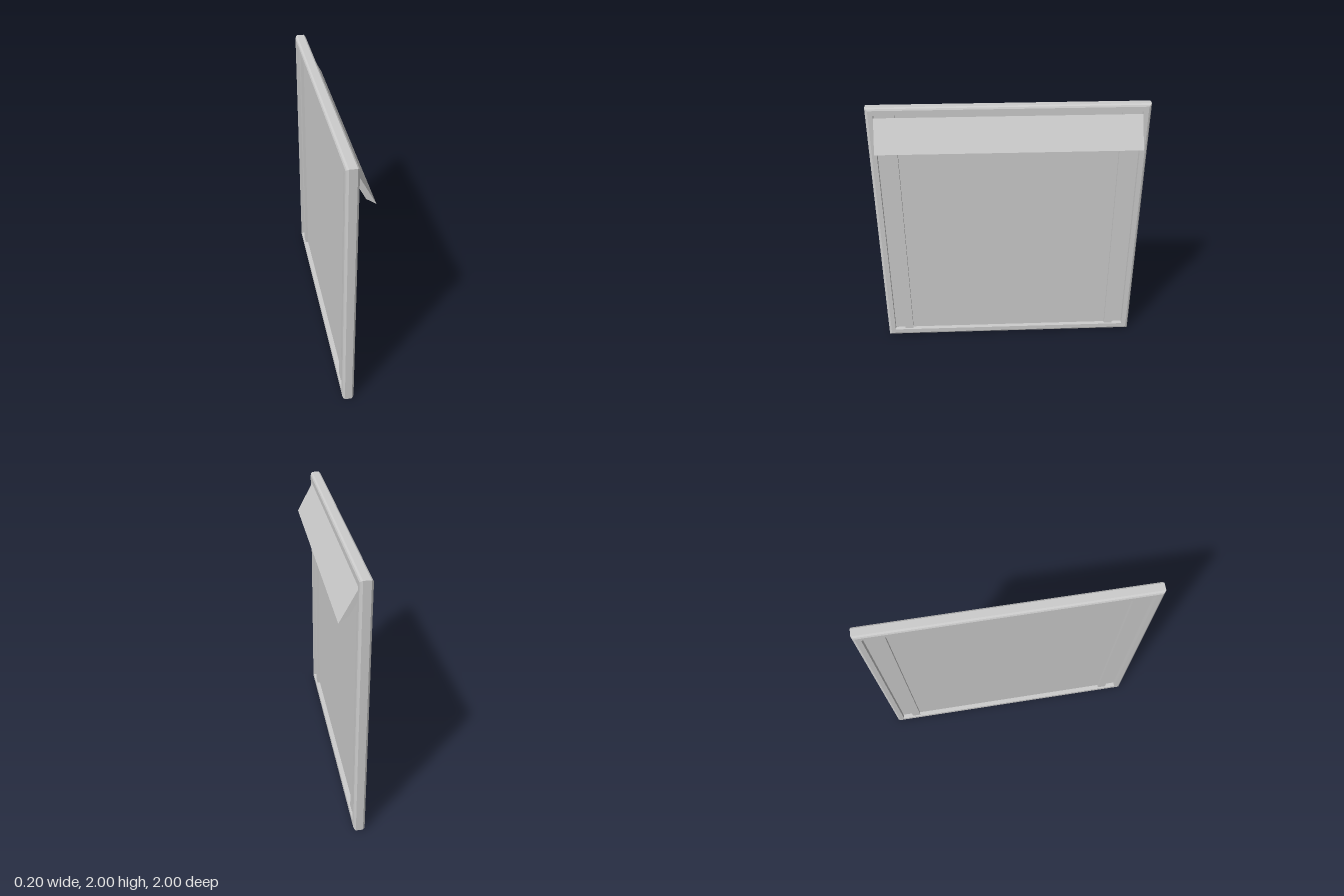
import * as THREE from 'three';

const MID = -0.0575; // x of the frame's middle plane

export function createModel() {
  const group = new THREE.Group();
  group.name = 'framedPanel';
  const grey = new THREE.MeshStandardMaterial({ color: 0xcccccc });
  grey.name = 'light grey';

  const add = (name, geometry, x = 0, y = 0, z = 0) => {
    const mesh = new THREE.Mesh(geometry, grey);
    mesh.name = name;
    mesh.position.set(x, y, z);
    group.add(mesh);
  };

  // Square mitred frame: a bevelled section swept round four sides
  const section = [
    [0.945, -0.0425], [0.98, -0.0425], [0.992, -0.037], [1, -0.026],
    [1, 0.026], [0.992, 0.037], [0.98, 0.0425], [0.945, 0.0425], [0.945, -0.0425],
  ].map(([r, d]) => new THREE.Vector2(r * Math.SQRT2, d));
  const frame = new THREE.LatheGeometry(section, 4)
    .rotateY(Math.PI / 4).rotateZ(-Math.PI / 2).toNonIndexed();
  frame.computeVertexNormals();
  add('frame', frame, MID, 1, 0);

  // Recessed panel filling the opening
  add('panel', new THREE.BoxGeometry(0.016, 1.9, 1.9), MID, 1, 0);

  // Upright strips, raised on both faces of the panel
  for (const side of [1, -1]) {
    add(side > 0 ? 'leftUpright' : 'rightUpright',
      new THREE.BoxGeometry(0.06, 1.89, 0.065), MID, 1, side * 0.8325);
  }

  // Slanted canopy, its section drawn in x and y
  const canopy = new THREE.Shape([
    [-0.05, 1.905], [0.035, 1.745], [0.1, 1.7], [-0.02, 1.925],
  ].map(([x, y]) => new THREE.Vector2(x, y)));
  add('canopy', new THREE.ExtrudeGeometry(canopy, { depth: 1.89, bevelEnabled: false }), 0, 0, -0.945);

  return group;
}
